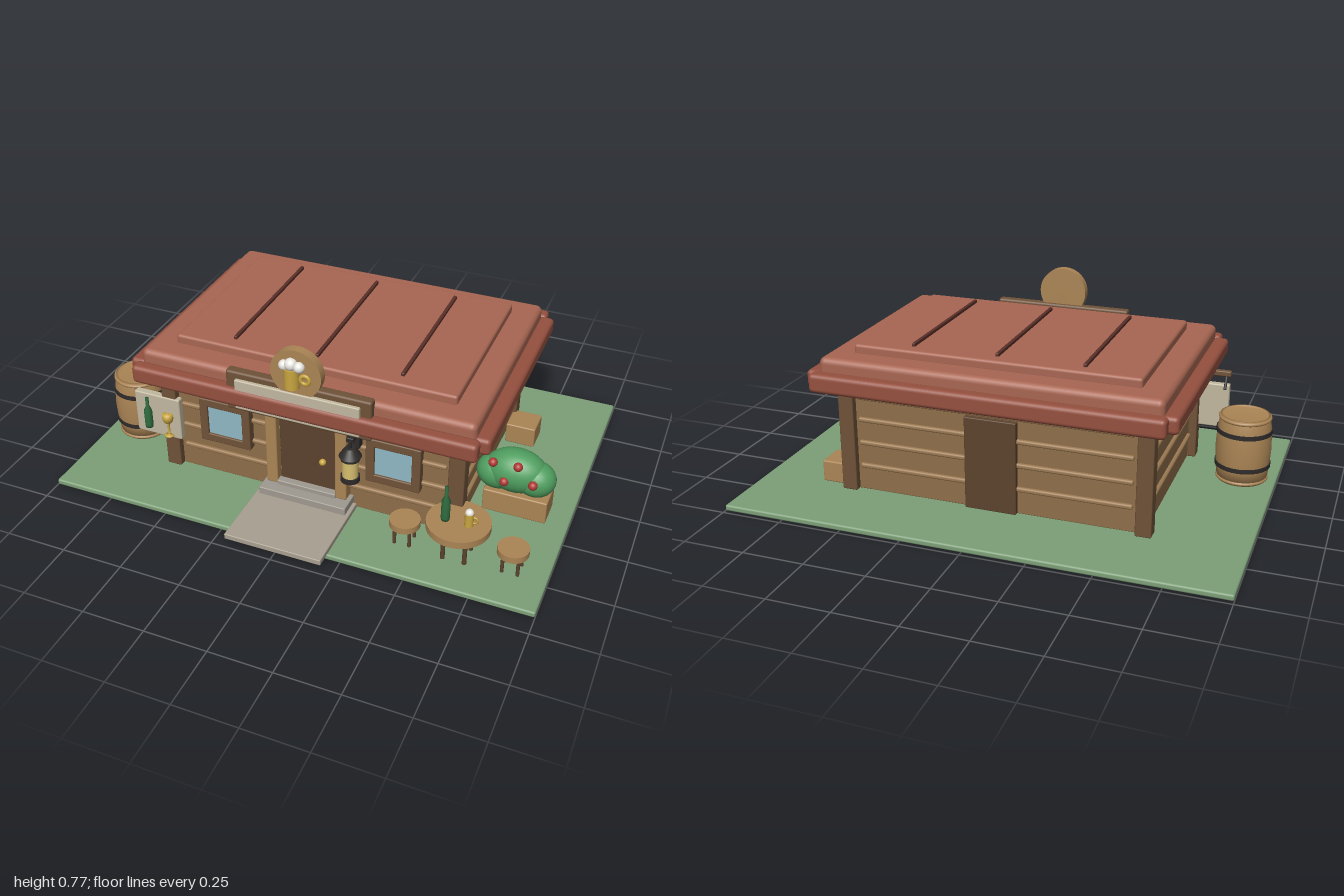
import * as THREE from 'three';
import { RoundedBoxGeometry } from 'three/addons/geometries/RoundedBoxGeometry.js';

const mats = {};
const mat = (c) => (mats[c] ??= new THREE.MeshStandardMaterial({ color: c }));
const C = {
  grass: 0x7d9f78, path: 0xa89f90, wall: 0x8f6e4a, slat: 0x9c7a52, post: 0x6f5238, dark: 0x5c432e,
  tan: 0xab8555, roof: 0xa86652, eave: 0x95503f, ridge: 0x5a3028, glass: 0x8fb8c4, pale: 0xc2b8a0,
  gold: 0xc9a640, green: 0x2f6b3f, leaf: 0x4f9e5f, berry: 0xb03a35, iron: 0x2e2b2a, foam: 0xe8e6e0, stone: 0xa09a90,
};

export function createModel() {
  const root = new THREE.Group();

  const add = (name, geo, color, x, y, z, parent = root) => {
    const m = new THREE.Mesh(geo, mat(color));
    m.name = name;
    m.position.set(x, y, z);
    parent.add(m);
    return m;
  };
  // Box given by its min and max on each axis, with softened edges
  const box = (name, color, [x0, x1], [y0, y1], [z0, z1], r = 0.004, parent = root) => {
    const w = x1 - x0, h = y1 - y0, d = z1 - z0;
    const geo = new RoundedBoxGeometry(w, h, d, 3, Math.min(r, w * 0.49, h * 0.49, d * 0.49));
    return add(name, geo, color, (x0 + x1) / 2, (y0 + y1) / 2, (z0 + z1) / 2, parent);
  };
  const cyl = (name, color, r0, r1, y0, y1, x, z, parent = root, seg = 28) =>
    add(name, new THREE.CylinderGeometry(r1, r0, y1 - y0, seg), color, x, (y0 + y1) / 2, z, parent);
  const ball = (name, color, r, x, y, z, parent = root) =>
    add(name, new THREE.SphereGeometry(r, 24, 16), color, x, y, z, parent);
  const lathe = (name, color, pts, x, y, z, parent = root) =>
    add(name, new THREE.LatheGeometry(pts.map((p) => new THREE.Vector2(...p)), 28), color, x, y, z, parent);
  const group = (name) => {
    const g = new THREE.Group();
    g.name = name;
    root.add(g);
    return g;
  };

  // Ground, path and steps
  box('ground', C.grass, [-1, 1], [0.003, 0.028], [-0.735, 0.67], 0.008);
  box('path', C.path, [-0.2, 0.2], [0.028, 0.052], [0.37, 0.735]);
  box('lowerStep', C.stone, [-0.185, 0.185], [0.03, 0.083], [0.35, 0.46]);
  box('upperStep', C.stone, [-0.125, 0.125], [0.08, 0.102], [0.35, 0.415]);

  // Walls, plank strips and corner posts
  box('walls', C.wall, [-0.605, 0.605], [0.028, 0.49], [-0.415, 0.365]);
  for (const y of [0.134, 0.233, 0.331, 0.425]) {
    const h = [y - 0.01, y + 0.01];
    box('frontStrip', C.slat, [-0.56, 0.56], h, [0.355, 0.378], 0.008);
    box('backStrip', C.slat, [-0.56, 0.56], h, [-0.428, -0.405], 0.008);
    for (const s of [-1, 1])
      box('sideStrip', C.slat, [s * 0.607 - 0.012, s * 0.607 + 0.012], h, [-0.37, 0.32], 0.008);
  }
  for (const x of [-0.607, 0.604])
    for (const z of [-0.414, 0.365])
      box('cornerPost', C.post, [x - 0.032, x + 0.032], [0.028, 0.49], [z - 0.03, z + 0.03], 0.006);

  // Roof slabs, eaves and ridges
  box('roofSlab', C.roof, [-0.68, 0.68], [0.485, 0.6], [-0.5, 0.445], 0.025);
  box('roofTop', C.roof, [-0.575, 0.575], [0.59, 0.635], [-0.4, 0.343], 0.012);
  for (const z of [-0.525, 0.467]) box('longEave', C.eave, [-0.7, 0.7], [0.472, 0.549], [z - 0.03, z + 0.03], 0.018);
  for (const x of [-0.702, 0.7]) box('sideEave', C.eave, [x - 0.033, x + 0.033], [0.476, 0.545], [-0.505, 0.44], 0.018);
  for (const x of [-0.345, 0, 0.345]) box('roofRidge', C.ridge, [x - 0.007, x + 0.007], [0.63, 0.648], [-0.35, 0.287]);

  // Roof sign with round medallion and mug
  const sign = group('roofSign');
  box('signBoard', C.post, [-0.295, 0.295], [0.445, 0.617], [0.432, 0.474], 0.01, sign);
  box('signPlaque', C.pale, [-0.253, 0.253], [0.462, 0.59], [0.46, 0.488], 0.005, sign);
  cyl('medallion', C.tan, 0.102, 0.102, -0.018, 0.018, 0, 0, sign, 40).rotation.x = Math.PI / 2;
  sign.children.at(-1).position.set(0, 0.672, 0.463);
  cyl('signMug', C.gold, 0.03, 0.03, 0.617, 0.7, -0.013, 0.482, sign);
  const signHandle = add('signMugHandle', new THREE.TorusGeometry(0.017, 0.008, 10, 24), C.gold, 0.04, 0.66, 0.486, sign);
  signHandle.scale.z = 0.8;
  for (const [x, y, r] of [[-0.042, 0.708, 0.021], [-0.014, 0.717, 0.025], [0.018, 0.71, 0.022]])
    ball('signFoam', C.foam, r, x, y, 0.486, sign);

  // Front door with posts and canopy
  const door = group('frontDoor');
  box('doorPanel', C.dark, [-0.12, 0.12], [0.085, 0.425], [0.35, 0.385], 0.004, door);
  for (const x of [-0.148, 0.146]) box('doorPost', C.tan, [x - 0.024, x + 0.024], [0.083, 0.43], [0.355, 0.41], 0.006, door);
  box('doorCanopy', C.eave, [-0.185, 0.185], [0.425, 0.45], [0.35, 0.43], 0.008, door);
  ball('doorKnob', C.gold, 0.014, 0.065, 0.23, 0.393, door);
  box('backDoor', C.dark, [-0.105, 0.105], [0.03, 0.41], [-0.437, -0.4]);

  // Windows: four frame bars round a pane, built facing +z
  const makeWindow = (x, y, z, turn) => {
    const g = group('window');
    for (const s of [-1, 1]) {
      box('frameSide', C.post, [s * 0.0925 - 0.0175, s * 0.0925 + 0.0175], [-0.1, 0.1], [-0.02, 0.03], 0.005, g);
      box('frameBar', C.post, [-0.1, 0.1], [s * 0.082 - 0.018, s * 0.082 + 0.018], [-0.02, 0.029], 0.005, g);
    }
    box('pane', C.glass, [-0.08, 0.08], [-0.07, 0.07], [-0.02, 0.02], 0.003, g);
    g.position.set(x, y, z);
    g.rotation.y = turn;
    return g;
  };
  for (const s of [-1, 1]) {
    makeWindow(s * 0.355, 0.3, 0.37, 0);
    box('windowLintel', C.tan, [s * 0.362 - 0.118, s * 0.362 + 0.118], [0.4, 0.445], [0.355, 0.385], 0.006);
  }
  makeWindow(0.61, 0.303, -0.121, Math.PI / 2).scale.set(0.92, 0.92, 1);

  // Lantern by the door
  const lantern = group('lantern');
  box('lanternArm', C.iron, [0.185, 0.215], [0.4, 0.42], [0.37, 0.45], 0.004, lantern);
  box('lanternPlate', C.iron, [0.18, 0.22], [0.34, 0.45], [0.36, 0.4], 0.004, lantern);
  cyl('lanternHook', C.iron, 0.006, 0.006, 0.36, 0.41, 0.2, 0.44, lantern, 10);
  cyl('lanternCap', C.iron, 0.044, 0.02, 0.335, 0.372, 0.2, 0.44, lantern);
  cyl('lanternCollar', C.iron, 0.038, 0.038, 0.32, 0.337, 0.2, 0.44, lantern);
  cyl('lanternGlass', 0xd8bf70, 0.031, 0.031, 0.24, 0.325, 0.2, 0.44, lantern);
  cyl('lanternBase', C.iron, 0.038, 0.038, 0.222, 0.242, 0.2, 0.44, lantern);

  // Bottle and goblet profiles shared by the sign and the table
  const bottle = [[0, 0], [0.016, 0], [0.017, 0.01], [0.017, 0.08], [0.007, 0.1], [0.007, 0.14], [0, 0.14]];
  const goblet = [[0, 0], [0.02, 0], [0.02, 0.005], [0.005, 0.01], [0.005, 0.06], [0.018, 0.07], [0.024, 0.09], [0.021, 0.108], [0, 0.108]];

  // Hanging sign on the left corner
  const hanging = group('hangingSign');
  box('signArm', C.post, [-0.775, -0.575], [0.42, 0.443], [0.305, 0.33], 0.005, hanging);
  for (const x of [-0.75, -0.66]) cyl('signHanger', C.iron, 0.006, 0.006, 0.35, 0.43, x, 0.345, hanging, 10).rotation.x = 0.5;
  box('signPanel', C.pale, [-0.762, -0.558], [0.168, 0.36], [0.368, 0.4], 0.006, hanging);
  lathe('signBottle', C.green, bottle, -0.703, 0.203, 0.405, hanging);
  lathe('signGoblet', C.gold, goblet, -0.612, 0.18, 0.405, hanging);

  // Barrel with two iron hoops
  const barrel = group('barrel');
  lathe('barrelBody', C.tan, [[0, 0], [0.1, 0], [0.109, 0.06], [0.113, 0.14], [0.109, 0.22], [0.1, 0.28], [0.092, 0.28], [0.09, 0.272], [0, 0.272]],
    -0.86, 0.03, 0.205, barrel);
  for (const y of [0.1, 0.245]) cyl('barrelHoop', C.iron, 0.113, 0.113, y - 0.009, y + 0.009, -0.86, 0.205, barrel, 36);
  for (const y of [0.04, 0.3]) {
    const rim = add('barrelRim', new THREE.TorusGeometry(0.099, 0.008, 10, 36), C.tan, -0.86, y, 0.205, barrel);
    rim.rotation.x = Math.PI / 2;
  }

  // Round table, stools and drinks
  const roundSeat = (name, x, z, r, y0, y1, spread, legR) => {
    const g = group(name);
    cyl(name + 'Top', C.tan, r, r, y0, y1, x, z, g, 36);
    for (let i = 0; i < 4; i++) {
      const a = Math.PI / 4 + (i * Math.PI) / 2;
      cyl(name + 'Leg', C.dark, legR, legR, 0.028, y0, x + spread * Math.cos(a), z + spread * Math.sin(a), g, 12);
    }
  };
  roundSeat('table', 0.647, 0.476, 0.122, 0.158, 0.187, 0.06, 0.009);
  roundSeat('stool', 0.438, 0.476, 0.06, 0.104, 0.131, 0.042, 0.007);
  roundSeat('stool', 0.86, 0.476, 0.06, 0.104, 0.131, 0.042, 0.007);
  lathe('tableBottle', C.green, bottle, 0.597, 0.187, 0.485).scale.y = 1.08;
  cyl('tableMug', C.gold, 0.017, 0.017, 0.187, 0.243, 0.688, 0.485);
  ball('tableMugFoam', C.foam, 0.016, 0.688, 0.245, 0.485);
  add('tableMugHandle', new THREE.TorusGeometry(0.013, 0.004, 8, 20), C.gold, 0.708, 0.215, 0.485);

  // Planter with flowering bush, and a crate
  const planter = group('planter');
  box('planterBox', C.tan, [0.66, 0.915], [0.04, 0.138], [0.075, 0.2], 0.006, planter);
  for (const [x, y, rx, ry, rz] of [[0.77, 0.22, 0.125, 0.09, 0.084], [0.85, 0.2, 0.08, 0.072, 0.072], [0.7, 0.2, 0.085, 0.072, 0.072]])
    ball('bush', C.leaf, 1, x, y, 0.14, planter).scale.set(rx, ry, rz);
  for (const [x, y, z] of [[0.69, 0.273, 0.195], [0.79, 0.283, 0.203], [0.855, 0.22, 0.213], [0.745, 0.215, 0.222]])
    ball('flower', C.berry, 0.018, x, y, z, planter);
  box('crate', C.tan, [0.62, 0.745], [0.028, 0.118], [-0.405, -0.285], 0.006);

  return root;
}
